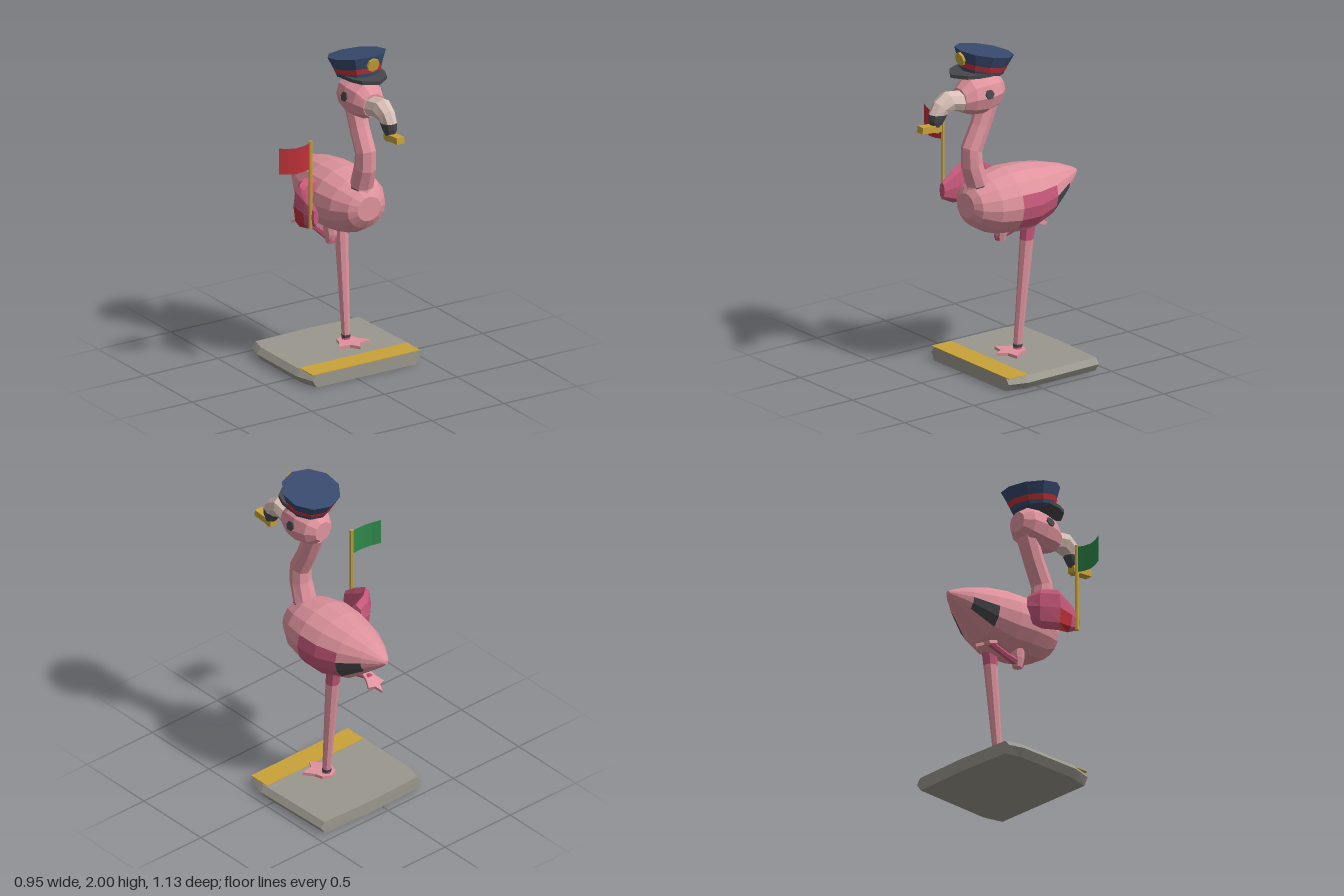
import * as THREE from 'three';

const mat = (name, color, extra = {}) => {
  const m = new THREE.MeshStandardMaterial({ color, flatShading: true, ...extra });
  m.name = name;
  return m;
};

// Elliptical cross-section from a centre and two half-axis vectors
function ring(c, a, b, n) {
  return Array.from({ length: n }, (_, i) => {
    const t = (i / n) * Math.PI * 2, u = Math.cos(t), v = Math.sin(t);
    return new THREE.Vector3(...c.map((k, q) => k + a[q] * u + b[q] * v));
  });
}
const centre = (r) => r.reduce((s, p) => s.add(p), new THREE.Vector3()).divideScalar(r.length);

// Capped, flat-shaded skin over cross-sections; pick(i, j) chooses a material per panel
function loft(name, rings, mats, pick = () => 0) {
  const list = [].concat(mats), buckets = list.map(() => []);
  const n = rings[0].length, last = rings.length - 1;
  const c0 = centre(rings[0]), c1 = centre(rings[last]);
  const area = new THREE.Vector3(), mid = rings[1], cm = centre(mid);
  mid.forEach((p, j) => area.add(p.clone().sub(cm).cross(mid[(j + 1) % n].clone().sub(cm))));
  const ok = area.dot(c1.clone().sub(c0)) > 0;
  const tri = (k, a, b, c) => (ok ? [a, b, c] : [a, c, b]).forEach((p) => buckets[k].push(p.x, p.y, p.z));
  for (let j = 0; j < n; j++) {
    const k = (j + 1) % n;
    for (let i = 0; i < last; i++) {
      const m = pick(i, j), A = rings[i], B = rings[i + 1];
      tri(m, A[j], A[k], B[k]);
      tri(m, A[j], B[k], B[j]);
    }
    tri(pick(0, j), c0, rings[0][k], rings[0][j]);
    tri(pick(last - 1, j), c1, rings[last][j], rings[last][k]);
  }
  const g = new THREE.BufferGeometry();
  g.setAttribute('position', new THREE.Float32BufferAttribute(buckets.flat(), 3));
  let start = 0;
  buckets.forEach((b, i) => { g.addGroup(start, b.length / 3, i); start += b.length / 3; });
  g.computeVertexNormals();
  const mesh = new THREE.Mesh(g, list);
  mesh.name = name;
  return mesh;
}

export function createModel() {
  const model = new THREE.Group();
  model.name = 'flamingoConductor';
  const pink = mat('pink', 0xdf939d), rose = mat('rose', 0xc6587a), beige = mat('beige', 0xd8c0b6);
  const dark = mat('charcoal', 0x47484c), navy = mat('navy', 0x384a6e), gold = mat('gold', 0xc9a238);
  const red = mat('red', 0xbd3238), stone = mat('stone', 0x9a978d);
  const green = mat('green', 0x2f8a4a);
  const X = 0.07;
  const add = (name, geo, m, pos = [0, 0, 0], rot = [0, 0, 0], parent = model) => {
    const mesh = new THREE.Mesh(geo, m);
    mesh.name = name;
    mesh.position.set(...pos);
    mesh.rotation.set(...rot);
    parent.add(mesh);
    return mesh;
  };

  // Platform with bevelled ends and a safety stripe
  const outline = [[-0.335, -0.34], [-0.305, -0.438], [0.08, -0.45], [0.46, -0.438],
    [0.475, 0.08], [0.44, 0.2], [-0.3, 0.2], [-0.335, 0.08]];
  const slab = (y, s) => outline.map(([x, z]) => new THREE.Vector3(X + (x - X) * s, y, z));
  model.add(loft('platform', [slab(0, 0.92), slab(0.045, 1), slab(0.08, 0.93)], stone));
  add('safetyStripe', new THREE.BoxGeometry(0.74, 0.004, 0.14), gold, [X, 0.081, 0.13]);

  // Body: z, bottom, top, half width; wing and feather patches on its sides
  const body = [[0.23, 0.97, 1.12, 0.08], [0.2, 0.92, 1.16, 0.13], [0.1, 0.86, 1.205, 0.19],
    [-0.03, 0.835, 1.23, 0.218], [-0.17, 0.83, 1.225, 0.212], [-0.31, 0.875, 1.205, 0.172],
    [-0.45, 0.985, 1.165, 0.1], [-0.53, 1.05, 1.13, 0.045], [-0.565, 1.085, 1.11, 0.014]];
  model.add(loft('body', body.map(([z, lo, hi, w]) =>
    ring([X, (lo + hi) / 2, z], [w, 0, 0], [0, (hi - lo) / 2, 0], 16)), [pink, rose, dark], (i, j) => {
    if ((i === 3 || i === 4) && (j >= 14 || j === 0)) return 1;
    if (i === 5 && (j === 14 || j === 15 || j === 8 || j === 9)) return 2;
    return 0;
  }));

  // Neck with a dark fringe at the root
  const neck = [[1.12, 0.155, 0.075, 0.07], [1.17, 0.15, 0.073, 0.062], [1.29, 0.187, 0.066, 0.064],
    [1.385, 0.19, 0.062, 0.062], [1.52, 0.125, 0.06, 0.058], [1.66, 0.07, 0.062, 0.06]];
  model.add(loft('neck', neck.map(([y, z, w, d], i) =>
    ring([X, y, z], [w, 0, 0], [0, i > 2 ? 0.02 : -0.015, d], 8)), [pink, dark],
  (i, j) => (i === 0 && (j === 0 || j === 3) ? 1 : 0)));

  // Head
  const head = [[-0.01, 1.665, 1.79, 0.06], [0.04, 1.62, 1.83, 0.105], [0.13, 1.595, 1.84, 0.122],
    [0.22, 1.605, 1.825, 0.105], [0.28, 1.63, 1.775, 0.075]];
  model.add(loft('head', head.map(([z, lo, hi, w]) =>
    ring([X, (lo + hi) / 2, z], [w, 0, 0], [0, (hi - lo) / 2, 0], 10)), pink));
  for (const s of [1, -1])
    add('eye', new THREE.CylinderGeometry(0.03, 0.03, 0.009, 6), dark,
      [X + s * 0.118, 1.74, 0.145], [0, 0, s * Math.PI / 2 + 0.25 * s]);

  // Hooked beak: upper edge (z, y), lower edge (z, y), half width
  const beak = (rows) => rows.map(([z1, y1, z2, y2, w]) =>
    ring([X, (y1 + y2) / 2, (z1 + z2) / 2], [w, 0, 0], [0, (y1 - y2) / 2, (z1 - z2) / 2], 8));
  model.add(loft('beak', beak([[0.26, 1.76, 0.255, 1.625, 0.072], [0.38, 1.775, 0.33, 1.65, 0.062],
    [0.455, 1.725, 0.37, 1.64, 0.052], [0.495, 1.655, 0.372, 1.64, 0.045]]), beige));
  model.add(loft('beakTip', beak([[0.496, 1.656, 0.371, 1.641, 0.0455], [0.495, 1.62, 0.4, 1.6, 0.04],
    [0.485, 1.585, 0.425, 1.572, 0.03]]), dark));
  add('whistle', new THREE.BoxGeometry(0.052, 0.04, 0.14), gold, [X, 1.572, 0.493], [-0.08, 0, 0]);
  add('whistleChamber', new THREE.CylinderGeometry(0.026, 0.026, 0.05, 8), gold,
    [X, 1.566, 0.45], [0, 0, Math.PI / 2]);

  // Cap, tilted back
  const cap = new THREE.Group();
  cap.name = 'cap';
  cap.position.set(X, 1.85, 0.12);
  cap.rotation.x = -0.19;
  model.add(cap);
  for (const [name, top, low, y0, y1, m] of [['capRim', 0.135, 0.13, 0, 0.02, navy],
    ['capBand', 0.148, 0.137, 0.02, 0.052, red], ['capCrown', 0.175, 0.147, 0.052, 0.12, navy]])
    add(name, new THREE.CylinderGeometry(top, low, y1 - y0, 10), m, [0, (y0 + y1) / 2, 0], [0, 0, 0], cap);
  add('capBadge', new THREE.CylinderGeometry(0.041, 0.041, 0.014, 8), gold,
    [0, 0.072, 0.168], [Math.PI / 2 + 0.36, 0, 0], cap);
  const peak = new THREE.Shape([[-0.128, 0.13], [-0.115, 0.22], [-0.085, 0.285], [0, 0.342], [0.085, 0.285],
    [0.115, 0.22], [0.128, 0.13]].map((p) => new THREE.Vector2(...p)));
  add('capPeak', new THREE.ExtrudeGeometry(peak, { depth: 0.022, bevelEnabled: false }), dark,
    [X, 1.873, 0], [Math.PI / 2, 0, 0]);

  // Raised wing curling forward: x, y, z, half height, thickness direction (x, z)
  const wing = [[-0.11, 1.09, -0.09, 0.085, 0.02, 0.035], [-0.19, 1.07, -0.065, 0.125, 0.022, 0.034],
    [-0.262, 1.06, 0.0, 0.128, 0.033, 0.012], [-0.257, 1.045, 0.08, 0.1, 0.034, -0.006],
    [-0.25, 1.035, 0.16, 0.05, 0.02, -0.004]];
  model.add(loft('wing', wing.map(([x, y, z, h, tx, tz]) => ring([x, y, z], [tx, 0, tz], [0, h, 0], 8)),
    [rose, red], (i, j) => (i === 2 && (j === 4 || j === 5) ? 1 : 0)));

  // Signal flag, red in front and green behind
  add('flagPole', new THREE.CylinderGeometry(0.012, 0.012, 0.54, 6), gold, [-0.275, 1.24, 0.137]);
  for (const [name, m, dz, ry] of [['flagFront', red, 0.002, 0], ['flagBack', green, -0.002, Math.PI]]) {
    const g = new THREE.PlaneGeometry(0.2, 0.16, 4, 1);
    g.rotateY(ry);
    const p = g.attributes.position;
    for (let i = 0; i < p.count; i++) {
      const t = (0.1 - p.getX(i)) / 0.2;
      p.setZ(i, 0.022 * Math.sin(t * Math.PI) - 0.022 * t);
      p.setY(i, p.getY(i) - 0.008 * Math.sin(t * Math.PI));
    }
    g.computeVertexNormals();
    add(name, g, m, [-0.38, 1.42, 0.138 + dz]);
  }

  // Standing leg, ankle and webbed foot
  const legRing = (x, y, z, r) => ring([x, y, z], [r, 0, 0], [0, 0, r], 8);
  model.add(loft('standingLeg', [legRing(0.132, 0.88, -0.175, 0.044), legRing(0.132, 0.78, -0.163, 0.041),
    legRing(0.126, 0.22, -0.11, 0.027), legRing(0.125, 0.15, -0.104, 0.025)], [pink, rose],
  (i) => (i === 0 ? 1 : 0)));
  model.add(loft('ankle', [legRing(0.125, 0.15, -0.104, 0.027), legRing(0.125, 0.132, -0.103, 0.027)], dark));
  model.add(loft('footJoint', [legRing(0.125, 0.135, -0.103, 0.022), legRing(0.125, 0.11, -0.1, 0.03)], rose));
  const toes = new THREE.Shape([[0, 0.145], [-0.035, 0.09], [-0.105, 0.08], [-0.065, 0.02], [-0.05, -0.03],
    [0, -0.055], [0.05, -0.03], [0.065, 0.02], [0.11, 0.08], [0.035, 0.09]].map((p) => new THREE.Vector2(...p)));
  const footGeo = new THREE.ExtrudeGeometry(toes, { depth: 0.018, bevelEnabled: false });
  add('standingFoot', footGeo, pink, [0.125, 0.122, -0.095], [Math.PI / 2, 0, 0]);

  // Tucked leg folded beneath the body
  model.add(loft('tuckedThigh', [legRing(0, 0.9, -0.08, 0.045), legRing(0, 0.81, -0.075, 0.04),
    legRing(0, 0.755, -0.075, 0.028)], pink));
  const shank = (x, y, z, r) => ring([x, y, z], [r, 0, 0], [0, r, 0], 6);
  model.add(loft('tuckedShank', [shank(0, 0.78, -0.045, 0.026), shank(-0.01, 0.8, -0.18, 0.02),
    shank(-0.02, 0.832, -0.32, 0.02)], rose));
  const tucked = add('tuckedFoot', footGeo, pink, [-0.02, 0.838, -0.31], [Math.PI / 2 - 0.4, 0, 0]);
  tucked.scale.set(0.55, -0.9, 1);

  return model;
}
